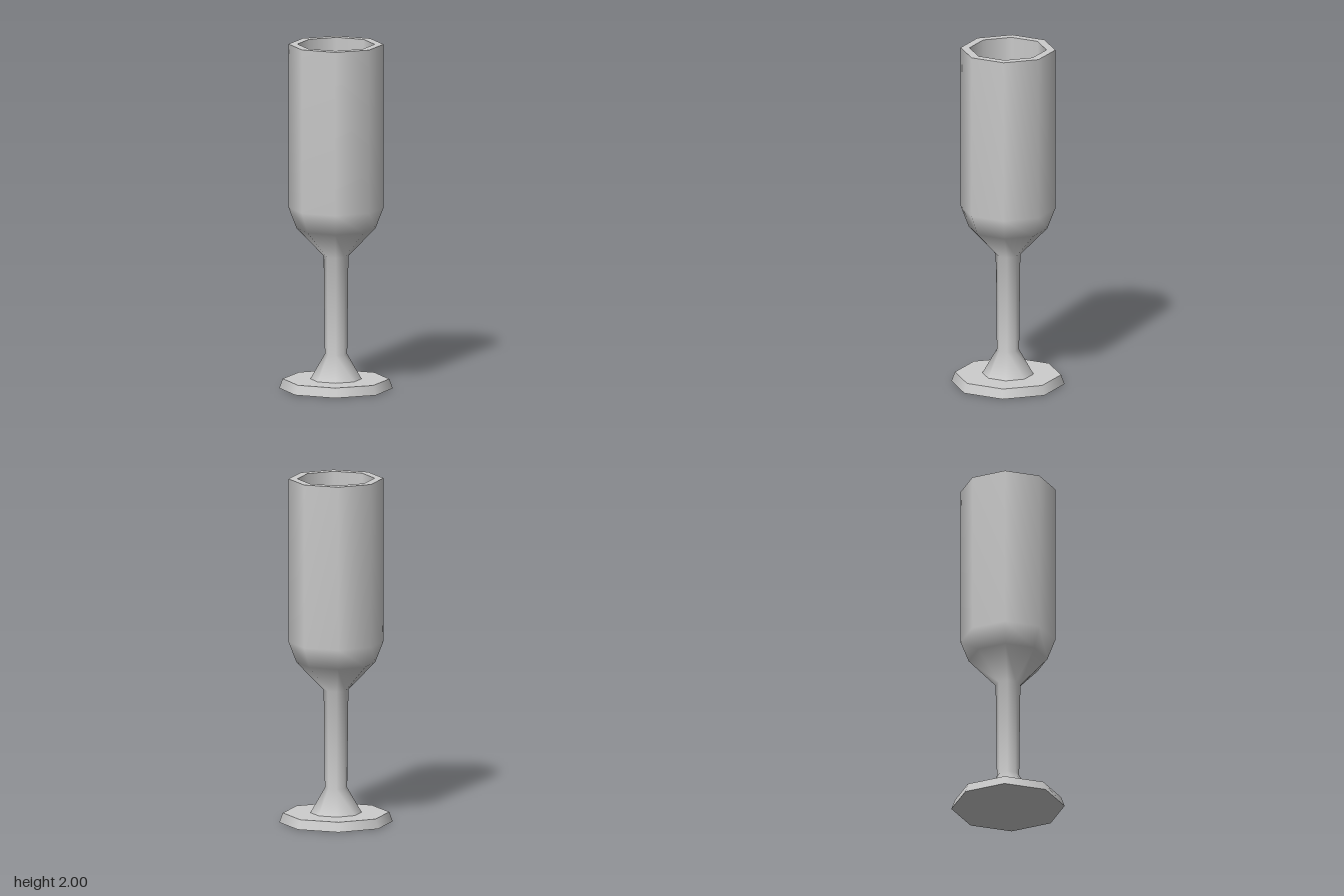
import * as THREE from 'three';

const SIDES = 8;

export function createModel() {
  const group = new THREE.Group();
  group.name = 'flute';

  const silver = new THREE.MeshStandardMaterial({ color: 0xcccccc });
  silver.name = 'pale grey';
  const shade = new THREE.MeshStandardMaterial({ color: 0xa2a2a2 });
  shade.name = 'mid grey';

  // Each turned part is smooth within itself; separate parts keep sharp edges.
  // Profiles are [radius, height]; outer surfaces run upwards.
  const turn = (name, profile, material = silver) => {
    const points = profile.map(([r, y]) => new THREE.Vector2(r, y));
    const mesh = new THREE.Mesh(new THREE.LatheGeometry(points, SIDES), material);
    mesh.name = name;
    group.add(mesh);
  };

  // Octagonal foot
  turn('footUnderside', [[0, 0], [0.325, 0]]);
  turn('footEdge', [[0.325, 0], [0.305, 0.055]]);
  turn('footTop', [[0.305, 0.055], [0.147, 0.055]]);

  // Flared stem running smoothly into the outside of the bowl
  turn('stemAndBowl', [
    [0.147, 0.055], [0.064, 0.2], [0.071, 0.77],
    [0.226, 0.93], [0.272, 1.05], [0.272, 2],
  ]);

  // Rim, hollow inside and its flat floor
  turn('rim', [[0.272, 2], [0.221, 2]]);
  turn('bowlInside', [[0.221, 2], [0.221, 1.05]]);
  turn('bowlFloor', [[0.221, 1.05], [0, 1.05]], shade);

  return group;
}
